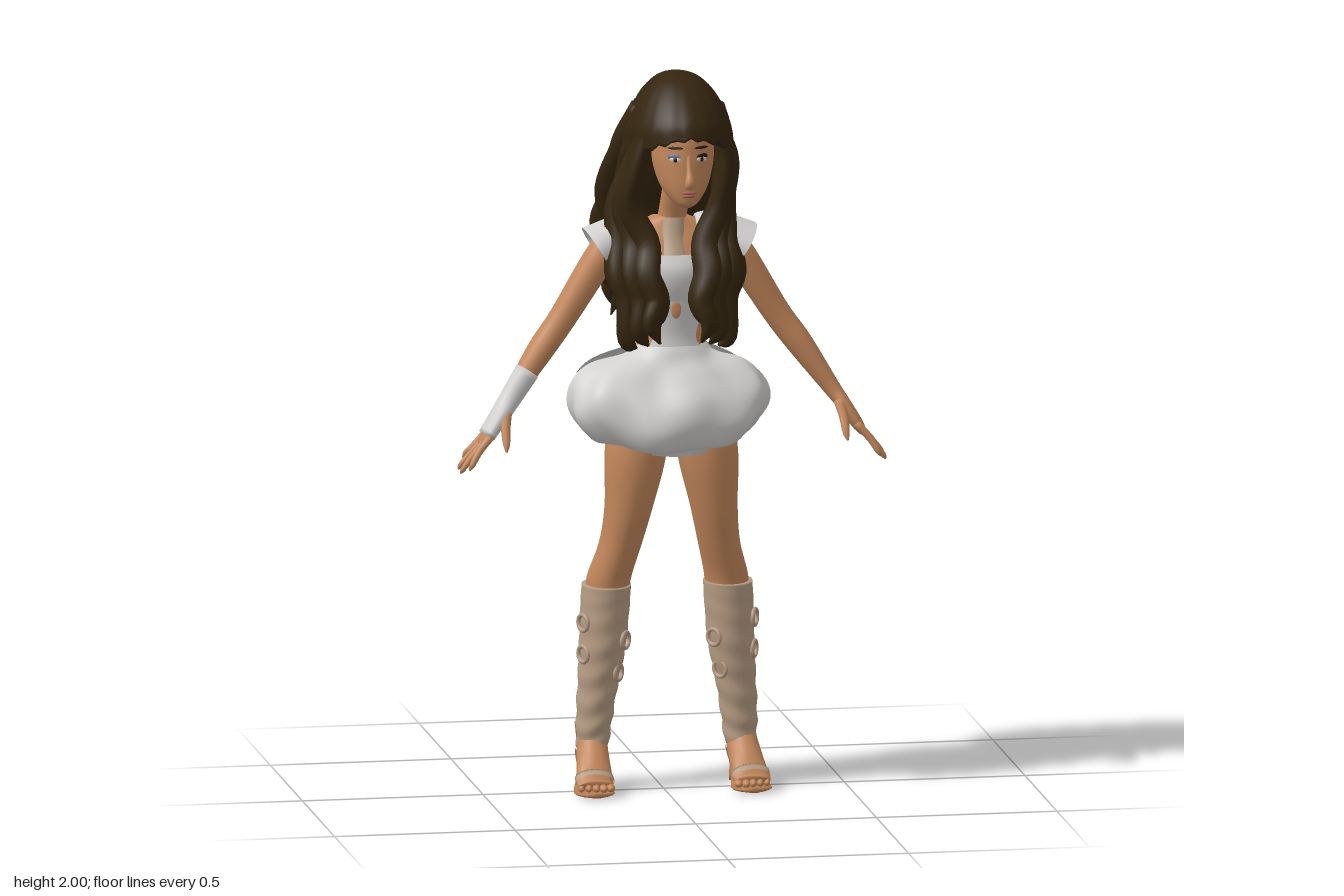
import * as THREE from 'three';

const mat = (name, color) => {
  const m = new THREE.MeshStandardMaterial({ color, side: THREE.DoubleSide });
  m.name = name;
  return m;
};
const V = (x, y, z) => new THREE.Vector3(x, y, z);
const CX = 0.012; // body centre line
const HX = 0.033; // head centre line

// Smooth skin through sections [x, y, z, radiusA, radiusB]; an arc gives an open sheet
function sweep(secs, { seg = 16, steps = 20, level = false, ref = [0, 0, 1], arc = null, wave = null } = {}) {
  const path = new THREE.CatmullRomCurve3(secs.map(s => V(s[0], s[1], s[2])), false, 'catmullrom');
  const size = new THREE.CatmullRomCurve3(secs.map(s => V(s[3], s[4], 0)), false, 'catmullrom');
  const pos = [], idx = [], cols = arc ? seg + 1 : seg;
  for (let i = 0; i <= steps; i++) {
    const t = i / steps, c = path.getPoint(t), r = size.getPoint(t);
    const T = level ? V(0, 1, 0) : path.getTangent(t);
    const S = level ? V(1, 0, 0) : V(...ref).addScaledVector(T, -T.dot(V(...ref))).normalize();
    const B = S.clone().cross(T);
    const [a0, a1] = arc ? arc(t) : [0, Math.PI * 2];
    for (let j = 0; j < cols; j++) {
      const a = a0 + (a1 - a0) * j / seg, [k, dy] = wave ? wave(a, t) : [1, 0];
      const p = c.clone().addScaledVector(S, r.x * k * Math.cos(a)).addScaledVector(B, r.y * k * Math.sin(a));
      pos.push(p.x, p.y + dy, p.z);
    }
  }
  for (let i = 0; i < steps; i++) for (let j = 0; j < seg; j++) {
    const n = (j + 1) % cols, a = i * cols + j, b = i * cols + n, c = a + cols, d = b + cols;
    idx.push(a, c, b, b, c, d);
  }
  if (!arc) for (const i of [0, steps]) { // end caps
    const c = path.getPoint(i / steps), k = pos.length / 3;
    pos.push(c.x, c.y, c.z);
    for (let j = 0; j < seg; j++) {
      const a = i * cols + j, b = i * cols + (j + 1) % cols;
      if (i) idx.push(a, k, b); else idx.push(a, b, k);
    }
  }
  const g = new THREE.BufferGeometry();
  g.setAttribute('position', new THREE.Float32BufferAttribute(pos, 3));
  g.setIndex(idx);
  g.computeVertexNormals();
  return g;
}

export function createModel() {
  const root = new THREE.Group();
  const skin = mat('skin', 0xc4885c), cloth = mat('pale cloth', 0xd2d1cf), hair = mat('dark hair', 0x34250f);
  const boot = mat('boot tan', 0xb79d84), sole = mat('sole leather', 0xb47a50), lip = mat('lips', 0xa8614c);
  const white = mat('eye white', 0xd8d0c8), dark = mat('eye dark', 0x2a1a12), blue = mat('eye shadow blue', 0x66759a);

  const add = (name, material, geo) => {
    const m = new THREE.Mesh(geo, material);
    m.name = name;
    root.add(m);
    return m;
  };
  const blob = (name, material, p, s, ry = 0) => {
    const m = add(name, material, new THREE.SphereGeometry(1, 16, 10));
    m.position.set(...p);
    m.scale.set(...s);
    m.rotation.y = ry;
    return m;
  };
  const at = (s, secs) => secs.map(([x, ...r]) => [CX + s * x, ...r]); // place on one side

  // Torso and neck
  add('torso', skin, sweep(at(1, [[0, 0.99, 0.05, 0.13, 0.09], [0, 1.08, 0.045, 0.165, 0.1], [0, 1.18, 0.04, 0.13, 0.082],
    [0, 1.28, 0.04, 0.086, 0.07], [0, 1.37, 0.04, 0.096, 0.076], [0, 1.45, 0.042, 0.112, 0.086], [0, 1.52, 0.03, 0.135, 0.068],
    [0, 1.57, 0.02, 0.1, 0.052], [0, 1.6, 0.02, 0.045, 0.042]]), { level: true, seg: 28, steps: 40 }));
  add('neck', skin, sweep([[CX, 1.54, 0.015, 0.046, 0.046], [0.02, 1.61, 0.03, 0.04, 0.042], [HX, 1.72, 0.075, 0.045, 0.05]], { level: true }));

  // Head and face
  add('head', skin, sweep([[1.648, 0.165, 0.014, 0.022], [1.662, 0.152, 0.036, 0.052], [1.7, 0.128, 0.064, 0.083], [1.75, 0.112, 0.08, 0.1],
    [1.8, 0.105, 0.086, 0.105], [1.86, 0.095, 0.085, 0.105], [1.92, 0.08, 0.055, 0.07]].map(r => [HX, ...r]), { level: true, seg: 28, steps: 36 }));
  add('nose', skin, sweep([[HX, 1.8, 0.203, 0.007, 0.006], [HX, 1.755, 0.216, 0.008, 0.01], [HX, 1.722, 0.228, 0.014, 0.013],
    [HX, 1.708, 0.212, 0.01, 0.006]], { ref: [1, 0, 0], seg: 12, steps: 12 }));
  blob('upperLip', lip, [HX, 1.694, 0.207], [0.022, 0.005, 0.008]);
  blob('lowerLip', lip, [HX, 1.685, 0.204], [0.018, 0.006, 0.009]);
  for (const s of [-1, 1]) {
    const x = HX + s * 0.036;
    blob('eyeShadow', s < 0 ? blue : dark, [x, 1.793, 0.197], [0.021, 0.009, 0.005], s * 0.42);
    blob('eye', white, [x, 1.786, 0.199], [0.017, 0.008, 0.005], s * 0.42);
    blob('iris', dark, [x, 1.786, 0.201], [0.007, 0.007, 0.005], s * 0.42);
    blob('eyebrow', dark, [x, 1.818, 0.198], [0.022, 0.004, 0.005], s * 0.42);
  }

  // Bodice: bust band, waist panel with keyhole, neck strip
  add('bustBand', cloth, sweep(at(1, [[0, 1.36, 0.04, 0.1, 0.083], [0, 1.42, 0.045, 0.113, 0.098], [0, 1.465, 0.045, 0.122, 0.1],
    [0, 1.505, 0.04, 0.137, 0.086]]), { level: true, seg: 28, steps: 14, arc: () => [0, Math.PI * 2] }));
  add('waistPanel', cloth, sweep(at(1, [[0, 1.18, 0.04, 0.135, 0.088], [0, 1.24, 0.04, 0.102, 0.08], [0, 1.29, 0.04, 0.09, 0.077],
    [0, 1.385, 0.041, 0.103, 0.089]]), { level: true, arc: t => {
    const h = 0.72 + 3.4 * (t - 0.55) ** 2;
    return [Math.PI / 2 - h, Math.PI / 2 + h];
  } }));
  blob('keyhole', skin, [CX, 1.355, 0.126], [0.014, 0.026, 0.004]);
  add('neckStrip', boot, sweep(at(1, [[0, 1.5, 0.035, 0.06, 0.082], [0, 1.55, 0.026, 0.05, 0.066], [0.004, 1.6, 0.027, 0.045, 0.049]]),
    { level: true, arc: () => [0.9, 2.24] }));

  // Bubble skirt: gathered front and back, open at the sides
  add('skirtFront', cloth, sweep([[0, 1.01, 0.06, 0.16, 0.11], [0, 0.985, 0.06, 0.215, 0.15], [0, 1.05, 0.06, 0.275, 0.178], [0, 1.12, 0.06, 0.27, 0.165],
    [0, 1.18, 0.055, 0.215, 0.12], [0.01, 1.215, 0.047, 0.13, 0.092], [CX, 1.25, 0.04, 0.094, 0.079]],
  { level: true, seg: 56, steps: 36, arc: () => [-0.03, Math.PI + 0.03], wave: (a, t) => {
    const k = Math.sin(Math.PI * Math.min(1, t * 1.1));
    return [1 + k * (0.025 * Math.sin(7 * a + 7 * t) + 0.015 * Math.sin(13 * a - 9 * t)),
      0.022 * k * Math.cos(2 * a) + 0.008 * k * Math.sin(6 * a)];
  } }));
  add('skirtBack', cloth, sweep([[0, 1.02, 0.04, 0.16, 0.11], [0, 0.985, 0.04, 0.21, 0.15], [0, 1.06, 0.04, 0.245, 0.178], [0, 1.14, 0.04, 0.25, 0.175],
    [0, 1.2, 0.04, 0.205, 0.13], [CX, 1.245, 0.04, 0.1, 0.078]],
  { level: true, seg: 56, steps: 32, arc: () => [Math.PI + 0.22, Math.PI * 2 - 0.22], wave: (a, t) =>
    [1 + 0.045 * (1 - t) * Math.sin(11 * a + 4 * t), 0.02 * (1 - t) * Math.sin(8 * a)] }));
  add('underskirt', cloth, sweep([[0.015, 0.955, 0.06, 0.1, 0.115], [0.01, 1.0, 0.06, 0.17, 0.13], [0.01, 1.06, 0.06, 0.19, 0.13]],
    { level: true, seg: 20, steps: 8, arc: () => [0.3, Math.PI - 0.3] }));

  for (const s of [-1, 1]) {
    // Shoulder strap and flared cap sleeve
    add('strap', cloth, sweep(at(s, [[0.095, 1.47, 0.125, 0.03, 0.01], [0.1, 1.55, 0.09, 0.034, 0.01], [0.11, 1.595, 0.025, 0.042, 0.012],
      [0.1, 1.55, -0.035, 0.034, 0.01], [0.095, 1.47, -0.05, 0.03, 0.01]]), { ref: [1, 0, 0] }));
    add('capSleeve', cloth, sweep(at(s, [[0.105, 1.565, 0.025, 0.06, 0.045], [0.15, 1.545, 0.025, 0.066, 0.054], [0.205, 1.512, 0.027, 0.088, 0.066]]),
      { seg: 24, steps: 10, arc: () => [s * -0.35, s * (Math.PI + 0.35)] }));

    // Arm, fingers and thumb
    add('arm', skin, sweep(at(s, [[0.13, 1.55, 0.02, 0.038, 0.038], [0.185, 1.495, 0.018, 0.047, 0.044], [0.295, 1.32, 0.015, 0.041, 0.038],
      [0.36, 1.23, 0.022, 0.041, 0.036], [0.443, 1.11, 0.045, 0.027, 0.024], [0.475, 1.065, 0.056, 0.036, 0.02],
      [0.51, 1.012, 0.062, 0.042, 0.017], [0.528, 0.985, 0.064, 0.036, 0.011]]), { steps: 36 }));
    [[0.02, 0.012, 0.57, 0.94], [0.05, 0.045, 0.588, 0.915], [0.077, 0.08, 0.588, 0.91], [0.096, 0.115, 0.57, 0.925]].forEach(([z0, z1, x, y]) =>
      add('finger', skin, sweep(at(s, [[0.505, 1.015, z0, 0.011, 0.011], [0.54, 0.975, (z0 + z1) / 2, 0.0095, 0.01],
        [x - 0.008, y + 0.014, z1, 0.008, 0.008], [x, y, z1, 0.002, 0.002]]), { seg: 8, steps: 10 })));
    add('thumb', skin, sweep(at(s, [[0.46, 1.075, 0.075, 0.015, 0.014], [0.468, 1.035, 0.105, 0.013, 0.012], [0.47, 0.998, 0.13, 0.01, 0.01],
      [0.472, 0.978, 0.143, 0.003, 0.003]]), { ref: [1, 0, 0], seg: 8, steps: 10 }));

    // Leg
    add('leg', skin, sweep(at(s, [[0.165, 0.53, -0.014, 0.058, 0.07], [0.162, 0.59, -0.01, 0.06, 0.077], [0.136, 0.69, 0.022, 0.058, 0.076],
      [0.117, 0.8, 0.048, 0.066, 0.08], [0.1, 0.94, 0.053, 0.084, 0.095], [0.086, 1.08, 0.042, 0.082, 0.1]]), { level: true, seg: 20, steps: 30 }));

    // Slouched boot with ring trims
    add('bootShaft', boot, sweep(at(s, [[0.205, 0.12, -0.025, 0.044, 0.05], [0.2, 0.2, -0.022, 0.05, 0.053], [0.19, 0.3, -0.02, 0.056, 0.06],
      [0.178, 0.4, -0.02, 0.064, 0.072], [0.172, 0.5, -0.018, 0.067, 0.077], [0.168, 0.572, -0.015, 0.067, 0.08]]),
    { level: true, seg: 24, steps: 60, wave: (a, t) => [1 + 0.05 * (1 - t) * Math.sin(t * 42 + 2 * Math.sin(a + s)), 0.006 * Math.sin(a * 2) * (1 - t)] }));
    for (const [y, a, x] of [[0.47, 0.45, 0.173], [0.382, 0.45, 0.18], [0.42, 2.5, 0.176], [0.33, 2.5, 0.187]]) {
      const nx = s * Math.cos(a), nz = Math.sin(a), ring = add('bootRing', boot, new THREE.TorusGeometry(0.022, 0.006, 8, 20));
      const r = 0.058 + (y - 0.33) * 0.1;
      ring.position.set(CX + s * x + nx * r, y, -0.02 + nz * r * 1.12);
      ring.lookAt(ring.position.x + nx, y, ring.position.z + nz);
    }

    // Foot, boot tongue, toes, sandal sole and heel
    const foot = [[0.205, 0.17, -0.055, 0.038, 0.035], [0.207, 0.125, -0.025, 0.042, 0.05], [0.212, 0.075, 0.035, 0.047, 0.038],
      [0.217, 0.04, 0.08, 0.051, 0.022], [0.217, 0.03, 0.1, 0.048, 0.015]];
    add('foot', skin, sweep(at(s, foot), { ref: [1, 0, 0] }));
    add('bootTongue', boot, sweep(at(s, foot.slice(1, 4).map(([x, y, z, a, b]) => [x, y, z, a + 0.004, b + 0.004])),
      { ref: [1, 0, 0], steps: 12, arc: t => [-Math.PI / 2 - 1.5 * (1 - t), -Math.PI / 2 + 1.5 * (1 - t)].map(a => -a) }));
    add('toeBand', boot, sweep(at(s, [[0.216, 0.048, 0.068, 0.054, 0.031], [0.217, 0.04, 0.086, 0.054, 0.026]]),
      { ref: [1, 0, 0], steps: 4, arc: () => [0, Math.PI * 2] }));
    for (let i = 0; i < 5; i++) {
      const d = i - 2;
      blob('toe', skin, [CX + s * (0.217 + d * 0.02), 0.026, 0.107 - Math.abs(d + 1) * 0.005], [0.012 - i * 0.0008, 0.011, 0.02]);
    }
    add('sole', sole, sweep(at(s, [[0.205, 0.145, -0.1, 0.03, 0.012], [0.206, 0.125, -0.06, 0.037, 0.012], [0.211, 0.055, 0.005, 0.04, 0.011],
      [0.217, 0.014, 0.06, 0.054, 0.011], [0.217, 0.01, 0.1, 0.052, 0.009], [0.217, 0.01, 0.127, 0.025, 0.007]]), { ref: [1, 0, 0], steps: 24 }));
    add('heelCup', sole, sweep(at(s, [[0.205, 0.12, -0.062, 0.036, 0.04], [0.204, 0.18, -0.05, 0.045, 0.045]]),
      { level: true, steps: 6, arc: () => [Math.PI, Math.PI * 2] }));
    add('heel', sole, sweep(at(s, [[0.205, 0, -0.085, 0.021, 0.02], [0.205, 0.06, -0.084, 0.021, 0.02], [0.205, 0.14, -0.075, 0.032, 0.032]]),
      { level: true, steps: 8 }));

    // Long front locks
    for (let i = 0; i < 3; i++) {
      const o = (i - 1) * 0.035, z = (1 - i) * 0.025, e = 0.025 * i;
      add('frontLock', hair, sweep(at(s, [[0.1 + s * 0.02, 1.86, 0.1 + z, 0.02, 0.03], [0.125 + s * 0.02, 1.76, 0.085 + z, 0.03, 0.04],
        [0.135 + o * 0.3, 1.64, 0.075 + z, 0.034, 0.04], [0.115 + o, 1.54, 0.1 + z, 0.035, 0.036], [0.12 + o, 1.46, 0.135 + z, 0.04, 0.04],
        [0.098 + o, 1.39, 0.15 + z, 0.037, 0.04], [0.108 + o * 0.8, 1.33 - e, 0.17 + z, 0.028, 0.03],
        [0.085 + o * 0.8, 1.275 - e * 0.4, 0.175 + z, 0.003, 0.003]]), { ref: [1, 0, 0], seg: 12, steps: 36,
        wave: (a, t) => [1 + 0.1 * Math.sin(3 * a + 9 * t + i), 0] }));
    }
  }

  // Glove on the right wrist
  add('wristGlove', cloth, sweep(at(-1, [[0.395, 1.18, 0.033, 0.037, 0.034], [0.443, 1.11, 0.045, 0.033, 0.03], [0.475, 1.065, 0.056, 0.042, 0.026],
    [0.513, 1.01, 0.062, 0.047, 0.022]]), { steps: 16 }));

  // Hair crown with fringe
  add('hairCrown', hair, sweep([[HX, 1.845, 0.058, 0.136, 0.183], [HX, 1.89, 0.05, 0.138, 0.175], [HX, 1.945, 0.036, 0.108, 0.135],
    [HX, 1.985, 0.03, 0.06, 0.075], [HX, 2, 0.03, 0.002, 0.002]], { level: true, seg: 48, steps: 24, wave: (a, t) =>
    [1 + 0.012 * (1 - t) * Math.sin(17 * a), -(1 - t) * (1 - t) * (0.06 * Math.cos(a) ** 2 + 0.006 * Math.sin(19 * a))] }));

  // Wavy hair down the back
  add('backHair', hair, sweep([[0.02, 1.25, -0.13, 0.07, 0.03], [0.015, 1.32, -0.125, 0.11, 0.05], [0.01, 1.45, -0.11, 0.15, 0.085],
    [0.015, 1.6, -0.08, 0.16, 0.1], [0.02, 1.72, -0.04, 0.155, 0.122], [0.028, 1.82, -0.005, 0.148, 0.135], [HX, 1.9, 0.03, 0.125, 0.14]],
  { level: true, seg: 56, steps: 44, wave: (a, t) => [1 + 0.045 * (1 - t) * Math.sin(10 * a + 3 * Math.sin(t * 16)), 0] }));
  for (let i = 0; i < 11; i++) {
    const a = Math.PI * (1 + i / 10), c = Math.cos(a), n = Math.sin(a), w = 0.014 * (i % 2 ? 1 : -1);
    const end = 1.32 + 0.1 * n + 0.025 * (i % 3 - 1);
    add('backLock', hair, sweep([[HX + c * 0.1, 1.9, 0.03 + n * 0.12, 0.03, 0.02], [0.025 + c * 0.135, 1.79, -0.01 + n * 0.125, 0.035, 0.025],
      [0.015 + c * 0.145 + w, 1.67, -0.055 + n * 0.105, 0.037, 0.027], [0.012 + c * 0.155 - w, 1.56, -0.085 + n * 0.1, 0.036, 0.026],
      [0.012 + c * 0.145 + w, 1.45, -0.11 + n * 0.085, 0.034, 0.026], [0.015 + c * 0.13 - w, (1.45 + end) / 2, -0.12 + n * 0.05, 0.025, 0.02],
      [0.015 + c * 0.125 + w, end, -0.125 + n * 0.03, 0.002, 0.002]], { ref: [1, 0, 0], seg: 10, steps: 36 }));
  }
  return root;
}
